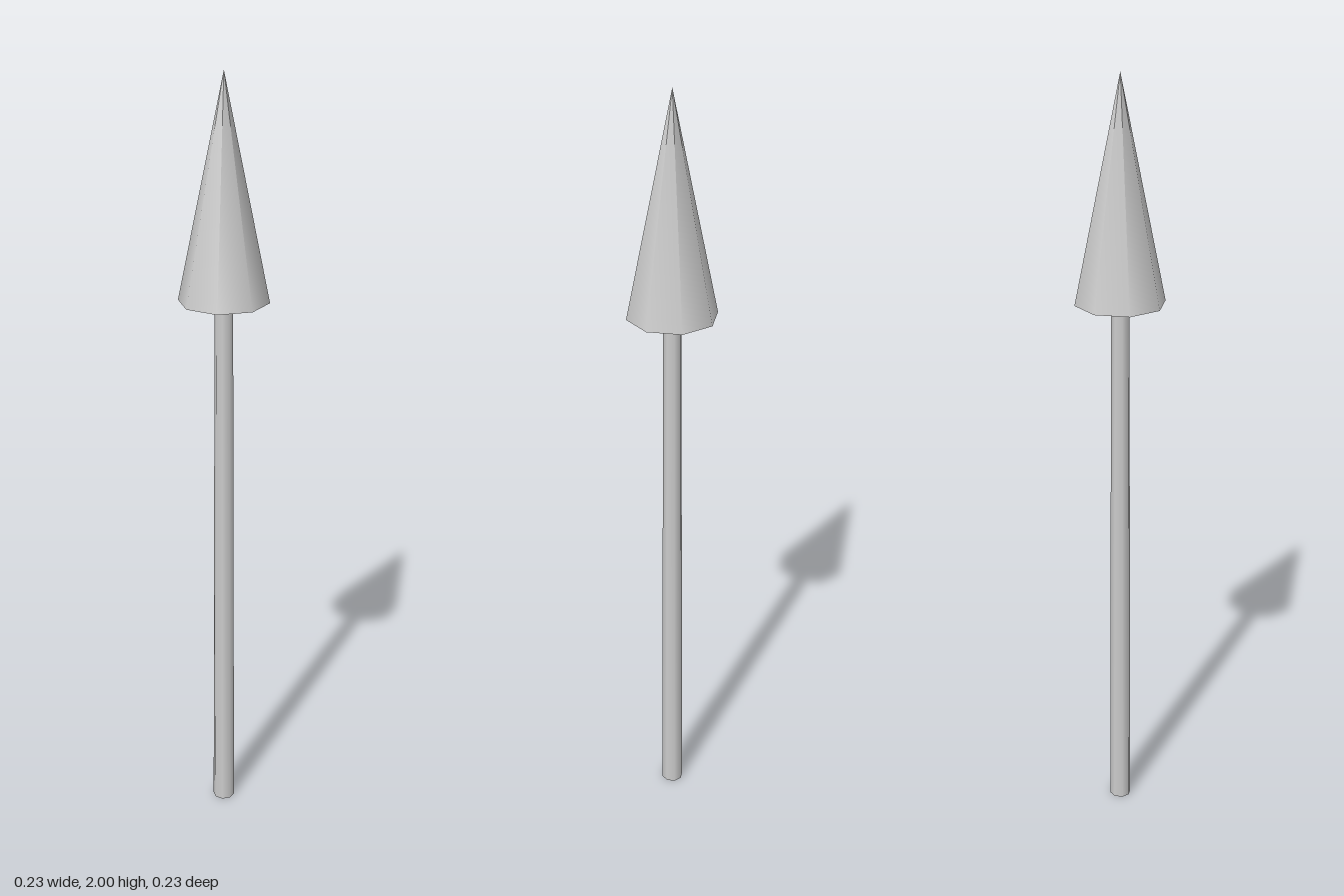
import * as THREE from 'three';

export function createModel() {
  const model = new THREE.Group();
  const material = new THREE.MeshStandardMaterial({ color: 0xcccccc });
  const sides = 8;
  const tipBase = 1.445;

  const add = (name, geometry, y) => {
    const mesh = new THREE.Mesh(geometry, material);
    mesh.name = name;
    mesh.position.y = y;
    model.add(mesh);
  };

  // Slightly tapered shaft, thicker at the foot
  add('shaft', new THREE.CylinderGeometry(0.023, 0.029, tipBase, sides), tipBase / 2);

  // Eight-sided pointed tip with a flat underside
  const tipHeight = 2 - tipBase;
  add('tip', new THREE.ConeGeometry(0.114, tipHeight, sides), tipBase + tipHeight / 2);

  return model;
}
